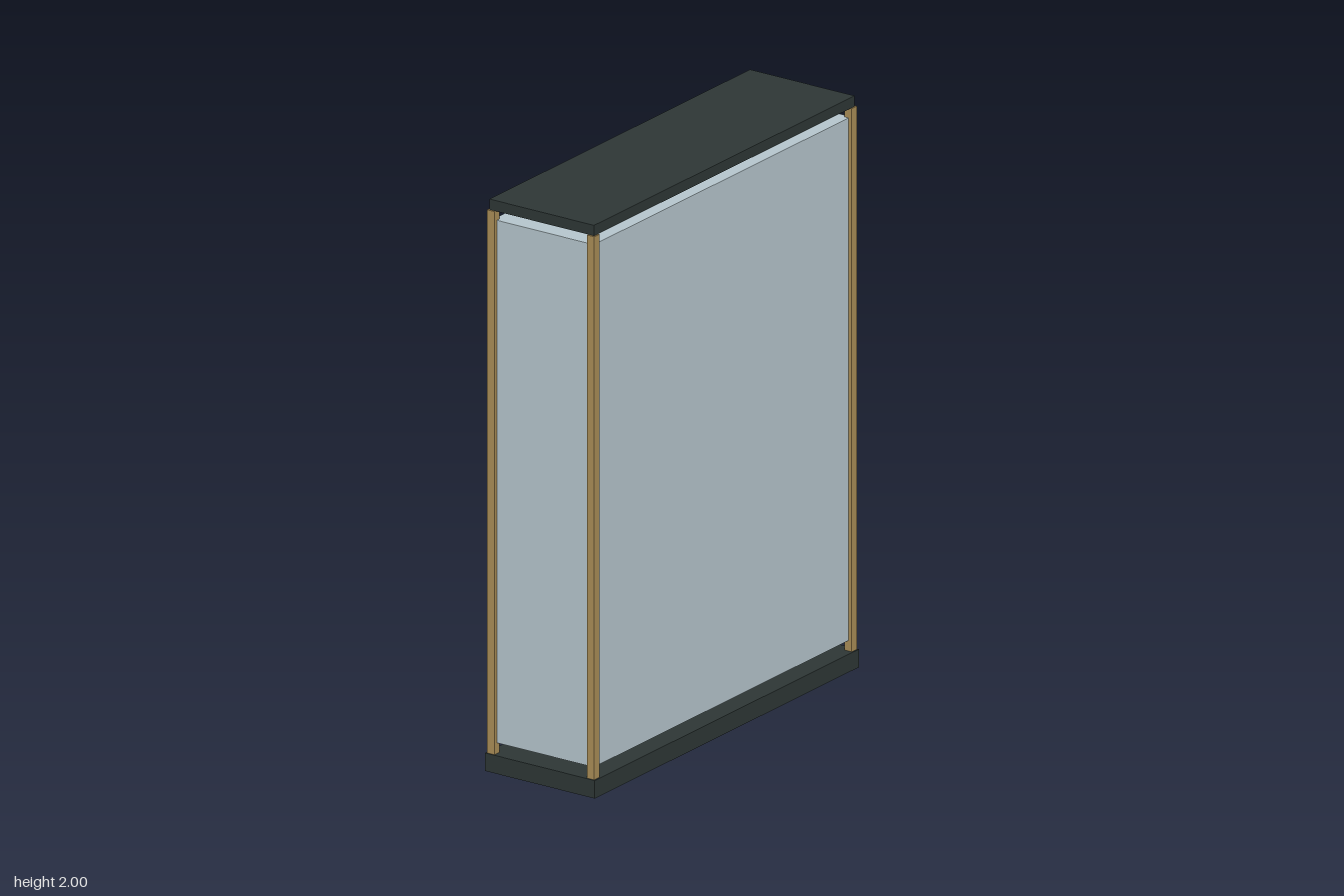
import * as THREE from 'three';

function material(name, color) {
  const m = new THREE.MeshStandardMaterial({ color });
  m.name = name;
  return m;
}

export function createModel() {
  const dark = material('charcoal', 0x2d3635);
  const brass = material('brass', 0xa88c56);
  const tan = material('tan', 0xb8955c);
  const glass = material('pale glass', 0xb4c4cb);
  const silver = material('silver', 0xb0bcc4);

  const model = new THREE.Group();
  model.name = 'displayCase';

  function add(name, geometry, mat, x, y, z) {
    const mesh = new THREE.Mesh(geometry, mat);
    mesh.name = name;
    mesh.position.set(x, y, z);
    model.add(mesh);
  }
  // Box given by its bottom and top heights
  function block(name, mat, w, d, y0, y1, x = 0, z = 0) {
    add(name, new THREE.BoxGeometry(w, y1 - y0, d), mat, x, (y0 + y1) / 2, z);
  }

  // Base, glass body and cap
  block('base', dark, 1.49, 0.44, 0, 0.063);
  block('glassBody', glass, 1.452, 0.405, 0.1, 1.928);
  block('cap', dark, 1.47, 0.42, 1.963, 2);

  // Corner posts
  for (const sx of [1, -1]) {
    for (const sz of [1, -1]) {
      const name = (sz > 0 ? 'front' : 'back') + (sx > 0 ? 'Left' : 'Right') + 'Post';
      block(name, brass, 0.029, 0.029, 0.063, 1.963, sx * 0.7265, sz * 0.2005);
    }
  }

  // Small exhibits standing in a row inside the case
  const exhibits = [
    ['tanExhibitRight', tan, -0.53, 0.052, 0.074],
    ['silverExhibit', silver, -0.17, 0.05, 0.063],
    ['tanExhibitLeft', tan, 0.187, 0.052, 0.074],
    ['darkExhibit', dark, 0.546, 0.052, 0.063],
  ];
  for (const [name, mat, x, radius, y0] of exhibits) {
    const h = 0.2;
    add(name, new THREE.CylinderGeometry(radius * 0.9, radius, h, 32), mat, x, y0 + h / 2, 0);
  }
  return model;
}
